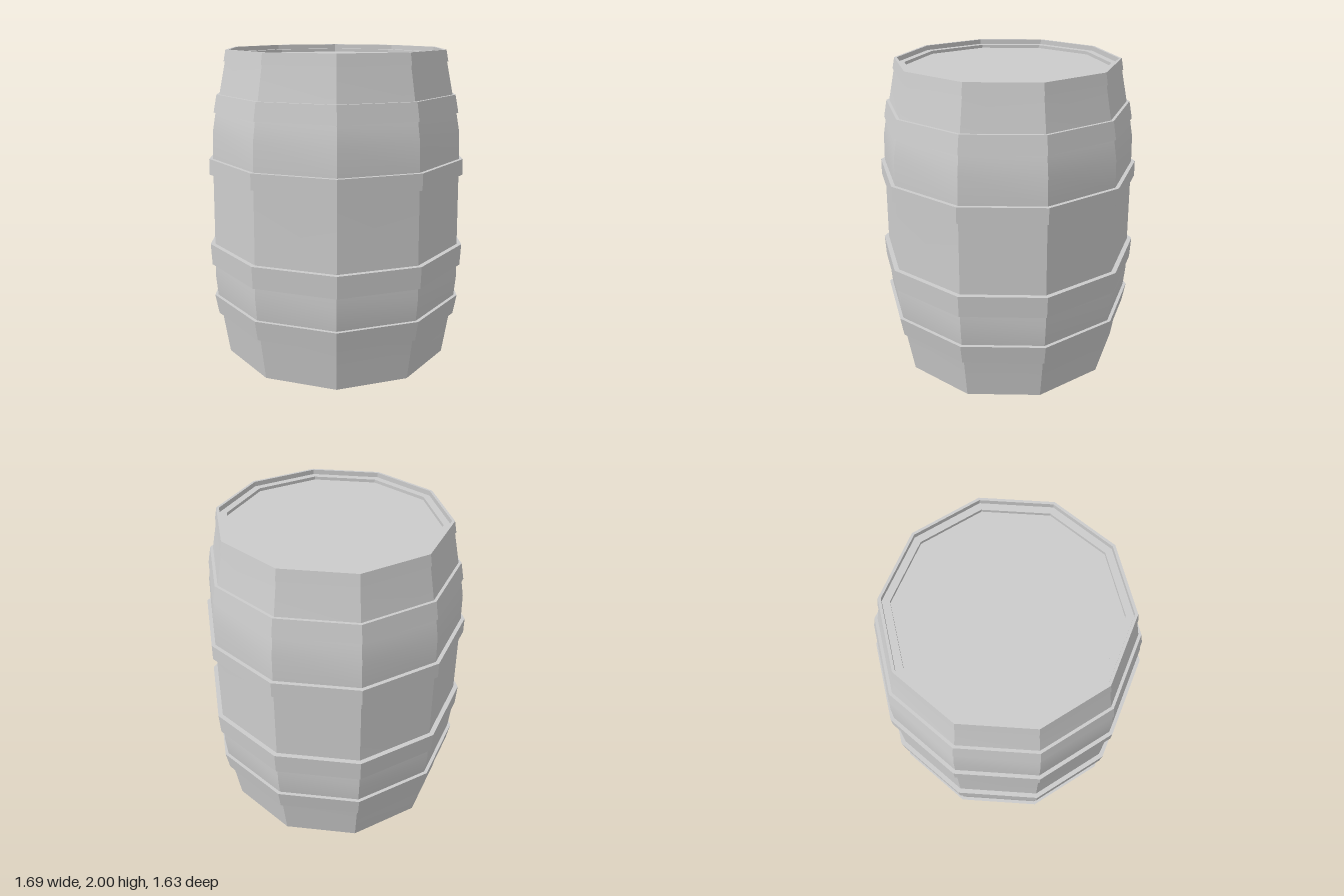
import * as THREE from 'three';
import { toCreasedNormals } from 'three/addons/utils/BufferGeometryUtils.js';

const SIDES = 10;
const material = new THREE.MeshStandardMaterial({ color: 0xcccccc });

// Ten-sided turned part; the crease angle keeps the stave edges sharp
// while the gentle vertical bulge stays smooth.
function turned(name, profile) {
  const points = profile.map(([r, y]) => new THREE.Vector2(r, y));
  const lathe = new THREE.LatheGeometry(points, SIDES, Math.PI / 2);
  lathe.scale(1, 1, 1.012);
  const mesh = new THREE.Mesh(toCreasedNormals(lathe, 0.5), material);
  mesh.name = name;
  return mesh;
}

// Band around the body: closed ring with a slanted outer face
function hoop(name, y0, r0, y1, r1, thickness = 0.04) {
  return turned(name, [
    [r0 - thickness, y0], [r0, y0], [r1, y1], [r1 - thickness, y1],
  ]);
}

export function createModel() {
  const barrel = new THREE.Group();
  barrel.name = 'barrel';

  // Bulging body with a flat base
  barrel.add(turned('body', [
    [0, 0], [0.745, 0], [0.768, 0.155], [0.787, 0.285], [0.81, 0.415],
    [0.822, 0.55], [0.82, 0.65], [0.816, 0.77], [0.808, 1.23],
    [0.806, 1.33], [0.8, 1.5], [0.778, 1.62], [0.75, 1.73],
    [0.708, 1.93], [0.694, 1.995],
  ]));

  // Recessed lid with a small step inside the rim
  barrel.add(turned('lid', [
    [0.695, 2], [0.685, 2], [0.685, 1.97], [0.64, 1.97], [0.64, 1.95], [0, 1.95],
  ]));

  // Hoops from bottom to top: lower height and radius, upper height and radius
  [
    [0.285, 0.81, 0.415, 0.832],
    [0.63, 0.84, 0.77, 0.846],
    [1.23, 0.832, 1.33, 0.83],
    [1.62, 0.79, 1.73, 0.768],
    [1.93, 0.716, 2, 0.702, 0.016],
  ].forEach((h, i) => barrel.add(hoop(`hoop${i + 1}`, ...h)));

  return barrel;
}
